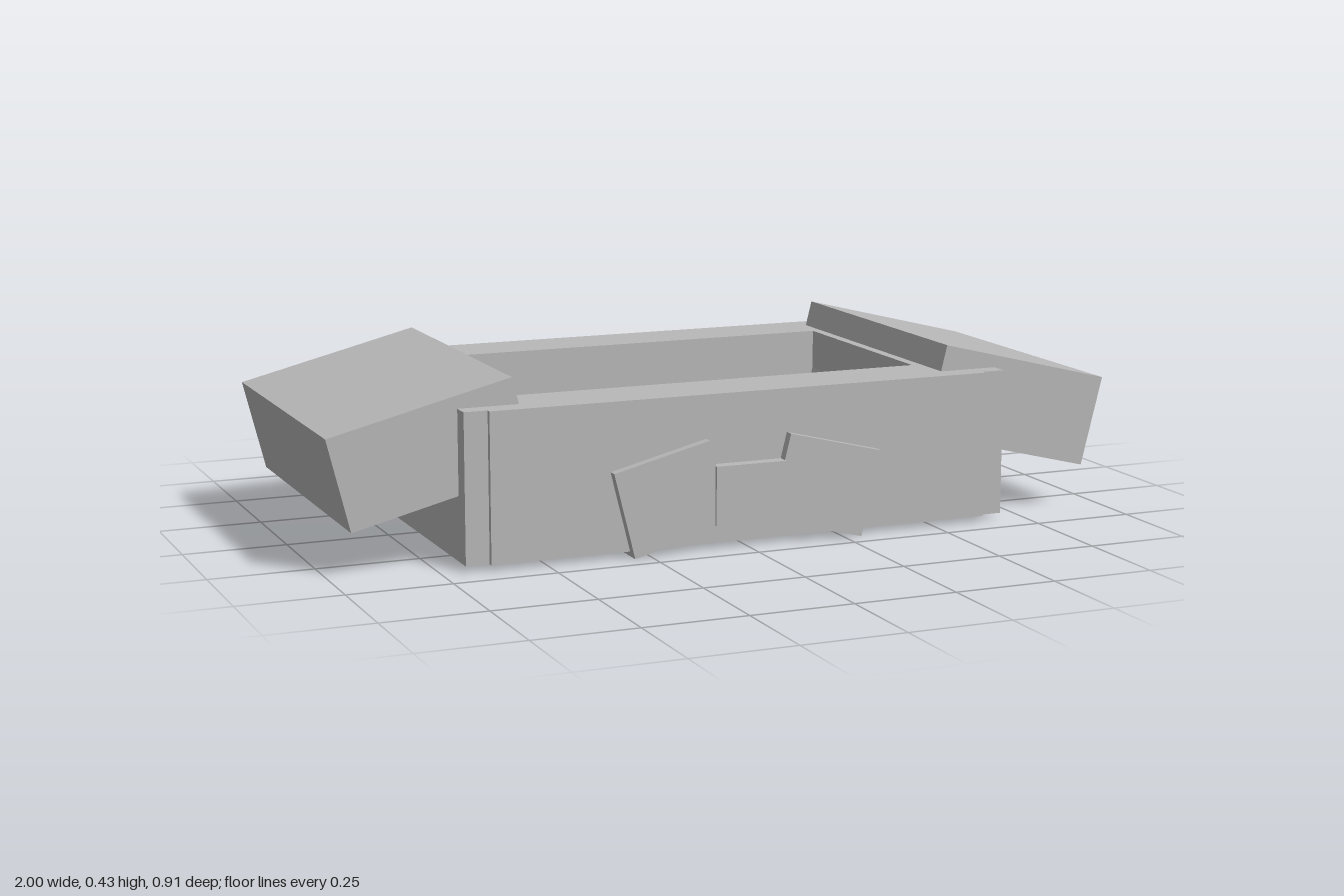
import * as THREE from 'three';

const grey = new THREE.MeshStandardMaterial({ color: 0xb8b8b8 });
grey.name = 'grey';

function addMesh(parent, name, geometry) {
  const mesh = new THREE.Mesh(geometry, grey);
  mesh.name = name;
  parent.add(mesh);
  return mesh;
}

// Box tilted about z, spanning z0 to z1
function tiltedBox(parent, name, [w, h], [x, y], [z0, z1], angle) {
  const mesh = addMesh(parent, name, new THREE.BoxGeometry(w, h, z1 - z0));
  mesh.position.set(x, y, (z0 + z1) / 2);
  mesh.rotation.z = angle;
  return mesh;
}

export function createModel() {
  const model = new THREE.Group();
  model.name = 'openFrameWithArms';

  // Rectangular frame, drawn in plan (x, z), with stepped corners and an open middle
  const plan = new THREE.Shape([
    [-0.692, -0.442], [-0.635, -0.442], [-0.635, -0.456], [0.635, -0.456],
    [0.635, -0.442], [0.692, -0.442], [0.692, 0.413], [0.635, 0.413],
    [0.635, 0.426], [-0.635, 0.426], [-0.635, 0.413], [-0.692, 0.413],
  ].map(([x, z]) => new THREE.Vector2(x, z)));
  plan.holes.push(new THREE.Path([
    [-0.52, -0.302], [-0.52, 0.262], [0.52, 0.262], [0.52, -0.302],
  ].map(([x, z]) => new THREE.Vector2(x, z))));
  const frame = new THREE.ExtrudeGeometry(plan, { depth: 0.357, bevelEnabled: false });
  frame.rotateX(Math.PI / 2).translate(0, 0.375, 0);
  addMesh(model, 'frame', frame);

  // Drooping side arms and the two wings of the front bow
  for (const side of [-1, 1]) {
    const label = side > 0 ? 'left' : 'right';
    tiltedBox(model, label + 'Arm', [0.454, 0.226], [side * 0.753, 0.274],
      [-0.396, 0.368], -side * 0.244);
    tiltedBox(model, label + 'BowWing', [0.247, 0.212], [side * 0.198, 0.1375],
      [0.364, 0.45], -side * 0.244);
  }

  // Knot between the wings
  tiltedBox(model, 'bowKnot', [0.18, 0.142], [0, 0.137], [0.37, 0.457], 0);

  return model;
}
